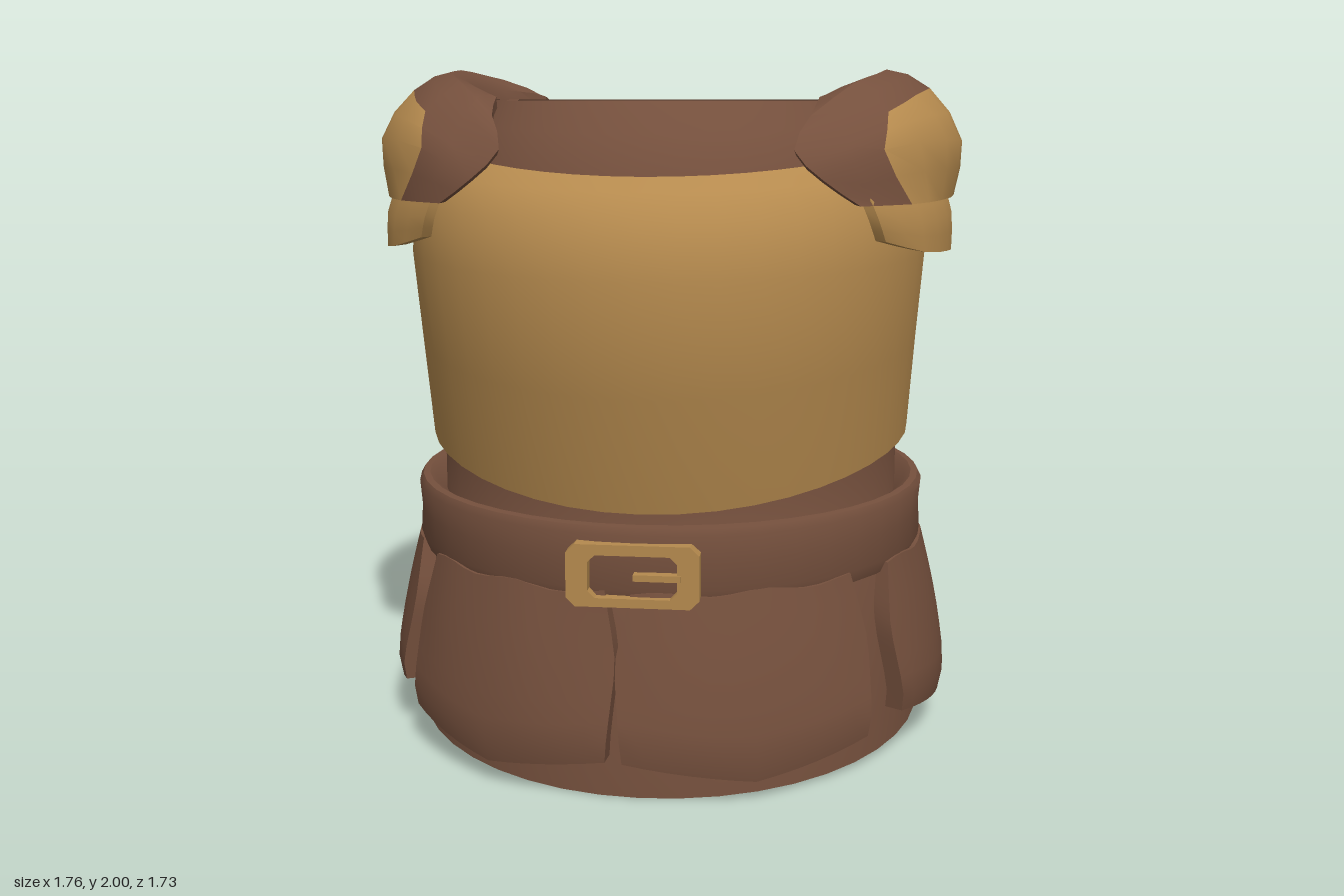
import * as THREE from 'three';
import { toCreasedNormals } from 'three/addons/utils/BufferGeometryUtils.js';

const V = (x, y, z) => new THREE.Vector3(x, y, z);
const leather = new THREE.MeshStandardMaterial({ color: 0x75503d });
leather.name = 'brown leather';
const brass = new THREE.MeshStandardMaterial({ color: 0xb58a4e });
brass.name = 'golden metal';

// Mesh from strips of point columns (u to the right, v downwards, seen from outside)
function skin(name, strips, material, isGold = null, crease = 0.6) {
  const main = [], gold = [];
  strips.forEach((cols, s) => {
    for (let i = 0; i < cols.length - 1; i++) {
      for (let j = 0; j < cols[i].length - 1; j++) {
        const a = cols[i][j], b = cols[i][j + 1], c = cols[i + 1][j + 1], d = cols[i + 1][j];
        const list = isGold && s === 0 && isGold(i, j) ? gold : main;
        for (const p of [a, b, c, a, c, d]) list.push(p.x, p.y, p.z);
      }
    }
  });
  let geo = new THREE.BufferGeometry();
  geo.setAttribute('position', new THREE.Float32BufferAttribute([...main, ...gold], 3));
  geo = toCreasedNormals(geo, crease);
  if (isGold) {
    geo.addGroup(0, main.length / 3, 0);
    geo.addGroup(main.length / 3, gold.length / 3, 1);
  }
  const mesh = new THREE.Mesh(geo, isGold ? [leather, brass] : material);
  mesh.name = name;
  return mesh;
}

// Oval rings; each row is [half width, front z, back z, side y, front y, back y]
function rings(name, rows, material, segments = 44) {
  const cols = [];
  for (let i = 0; i <= segments; i++) {
    const t = Math.PI + ((i % segments) / segments) * Math.PI * 2;
    const s = Math.sin(t), c = Math.cos(t);
    cols.push(rows.map(([rx, zf, zb, ys, yf = ys, yb = ys]) => V(
      rx * s,
      ys + (c * (yf - yb)) / 2 + c * c * ((yf + yb) / 2 - ys),
      (c * (zf + zb)) / 2 + (zf - zb) / 2)));
  }
  return skin(name, [cols], material);
}

// Closed plate: outer columns, an inward offset, and both end caps
function slab(name, outer, inward, material, isGold) {
  const inner = outer.map((col) => col.map(inward));
  const loop = outer.map((col, i) => [...col, ...[...inner[i]].reverse(), col[0]]);
  const n = outer.length - 1;
  return skin(name, [loop, [inner[0], outer[0]], [outer[n], inner[n]]], material, isGold);
}

// Smooth resampling of a line of points; every given point is kept
function refine(points, steps) {
  return new THREE.CatmullRomCurve3(points).getPoints((points.length - 1) * steps);
}

// Columns of points refined in both directions
function refineGrid(cols, steps) {
  const rows = cols[0].map((_, j) => refine(cols.map((c) => c[j]), steps));
  return rows[0].map((_, i) => refine(rows.map((r) => r[i]), steps));
}

// Front-to-back stations for one shoulder, mirrored for side -1
function shoulderGrid(half, side, backScale) {
  const cols = [...half, ...half.slice(0, -1).reverse().map((col) =>
    col.map(([x, y, z]) => [x, y, -z * backScale]))];
  const pts = cols.map((col) => col.map(([x, y, z]) => V(x * side, y, z)));
  return refineGrid(side > 0 ? pts : pts.reverse(), 2);
}

function pauldron(side) {
  const group = new THREE.Group();
  group.name = side > 0 ? 'leftPauldron' : 'rightPauldron';
  const toward = (x, y, k) => (p) => p.clone().lerp(V(x * side, y, p.z * 0.9), k);

  // Upper cap, leather rim around a golden dome
  const cap = shoulderGrid([
    [[0.46, 1.92, 0.36], [0.44, 1.87, 0.51], [0.40, 1.78, 0.61], [0.48, 1.70, 0.61], [0.58, 1.63, 0.57]],
    [[0.49, 1.93, 0.33], [0.55, 1.955, 0.38], [0.65, 1.88, 0.43], [0.64, 1.78, 0.52], [0.72, 1.63, 0.46]],
    [[0.56, 1.94, 0.19], [0.62, 1.985, 0.22], [0.73, 1.925, 0.25], [0.82, 1.80, 0.28], [0.81, 1.63, 0.27]],
    [[0.59, 1.95, 0], [0.65, 2.0, 0], [0.78, 1.945, 0], [0.88, 1.79, 0], [0.86, 1.63, 0]],
  ], side, 1.08);
  group.add(slab('shoulderCap', cap, toward(0.45, 1.66, 0.12), null,
    (i, j) => i >= 2 && i < 10 && j >= 4 && j < 8));

  // Lower golden lame
  const lame = shoulderGrid([
    [[0.60, 1.66, 0.55], [0.63, 1.59, 0.54], [0.65, 1.53, 0.51]],
    [[0.72, 1.66, 0.42], [0.75, 1.58, 0.42], [0.76, 1.495, 0.41]],
    [[0.80, 1.66, 0.22], [0.83, 1.58, 0.22], [0.835, 1.48, 0.21]],
    [[0.83, 1.66, 0], [0.855, 1.58, 0], [0.855, 1.47, 0]],
  ], side, 1.06);
  group.add(slab('shoulderLame', lame, toward(0.3, 1.56, 0.08), brass));
  return group;
}

// Skirt plate between two angles (degrees from the front)
function skirtPlate(a0, a1) {
  const cols = [], nu = 12, nv = 8;
  const mid = THREE.MathUtils.degToRad((a0 + a1) / 2);
  for (let i = 0; i <= nu; i++) {
    const u = i / nu, col = [];
    const low = 0.10 - 0.035 * Math.cos(mid) + 0.06 * Math.abs(2 * u - 1);
    for (let j = 0; j <= nv; j++) {
      const v = j / nv;
      const inset = v < 0.35 ? 2.5 * (1 - v / 0.35) : 3 * Math.max(0, v - 0.5);
      const a = THREE.MathUtils.degToRad(THREE.MathUtils.lerp(a0 + inset, a1 - inset, u));
      const puff = 0.012 * Math.sin(Math.PI * u) * Math.sin(Math.PI * v);
      const r = 0.79 + 0.09 * Math.min(v, 0.85) - 0.06 * Math.max(0, v - 0.85) + puff;
      const top = 0.59 + 0.008 * Math.sin(u * 14);
      col.push(V(r * Math.sin(a), THREE.MathUtils.lerp(top, low, v), r * Math.cos(a)));
    }
    cols.push(col);
  }
  return slab('skirtPlate', cols, (p) => V(p.x * 0.935, p.y, p.z * 0.935), leather);
}

// Rectangle with cut corners
function chamfered(Type, x0, y0, x1, y1, c) {
  return new Type([[x0 + c, y0], [x1 - c, y0], [x1, y0 + c], [x1, y1 - c],
    [x1 - c, y1], [x0 + c, y1], [x0, y1 - c], [x0, y0 + c]].map((p) => new THREE.Vector2(...p)));
}

function buckle() {
  const group = new THREE.Group();
  group.name = 'buckle';
  const shape = chamfered(THREE.Shape, -0.195, 0.56, 0.17, 0.735, 0.025);
  shape.holes.push(chamfered(THREE.Path, -0.135, 0.585, 0.11, 0.705, 0.02));
  const frame = new THREE.Mesh(new THREE.ExtrudeGeometry(shape, { depth: 0.05, bevelEnabled: false }), brass);
  frame.name = 'buckleFrame';
  frame.position.z = 0.762;
  const prong = new THREE.Mesh(new THREE.BoxGeometry(0.13, 0.018, 0.03), brass);
  prong.name = 'bucklePin';
  prong.position.set(0.055, 0.645, 0.8);
  group.add(frame, prong);
  return group;
}

export function createModel() {
  const model = new THREE.Group();
  model.name = 'torsoArmour';

  // Leather tunic: collar, waist and skirt outside, then the lining back up
  model.add(rings('tunic', [
    [0.52, 0.50, 0.53, 1.91], [0.55, 0.525, 0.555, 1.91], [0.59, 0.60, 0.61, 1.85, 1.82, 1.85],
    [0.65, 0.675, 0.645, 1.76, 1.69, 1.75], [0.70, 0.71, 0.70, 1.45], [0.705, 0.70, 0.715, 0.95],
    [0.705, 0.70, 0.715, 0.72], [0.755, 0.755, 0.755, 0.6], [0.79, 0.785, 0.795, 0.05, 0, 0.105],
    [0.77, 0.765, 0.775, 0.05, 0, 0.105], [0.73, 0.73, 0.73, 0.6], [0.685, 0.68, 0.695, 0.8],
    [0.68, 0.68, 0.68, 1.45], [0.62, 0.64, 0.63, 1.7], [0.52, 0.50, 0.53, 1.91],
  ], leather));

  // Golden breast and back plate
  model.add(rings('cuirass', [
    [0.60, 0.62, 0.60, 1.76, 1.69, 1.75], [0.66, 0.69, 0.66, 1.78, 1.712, 1.775],
    [0.735, 0.76, 0.75, 1.72, 1.675, 1.725], [0.775, 0.815, 0.795, 1.6, 1.61, 1.64],
    [0.778, 0.868, 0.838, 1.47, 1.45, 1.47], [0.757, 0.81, 0.795, 1.2, 1.13, 1.17],
    [0.738, 0.73, 0.745, 0.92, 0.80, 0.87], [0.70, 0.695, 0.71, 0.93, 0.82, 0.88],
  ], brass));

  // Belt with a rounded lip
  model.add(rings('belt', [
    [0.70, 0.70, 0.70, 0.72], [0.735, 0.735, 0.735, 0.765], [0.755, 0.755, 0.755, 0.778],
    [0.775, 0.78, 0.78, 0.776], [0.787, 0.79, 0.795, 0.755], [0.78, 0.785, 0.785, 0.68],
    [0.785, 0.79, 0.79, 0.6], [0.77, 0.775, 0.775, 0.56], [0.74, 0.74, 0.74, 0.55],
  ], leather));
  model.add(buckle());

  // Six overlapping skirt plates
  const skirt = new THREE.Group();
  skirt.name = 'skirtPlates';
  for (const [a0, a1] of [[-4, 49], [57, 111], [116, 172], [180, 236], [241, 297], [303, 355.8]]) {
    skirt.add(skirtPlate(a0, a1));
  }
  model.add(skirt);

  for (const side of [1, -1]) model.add(pauldron(side));
  return model;
}
